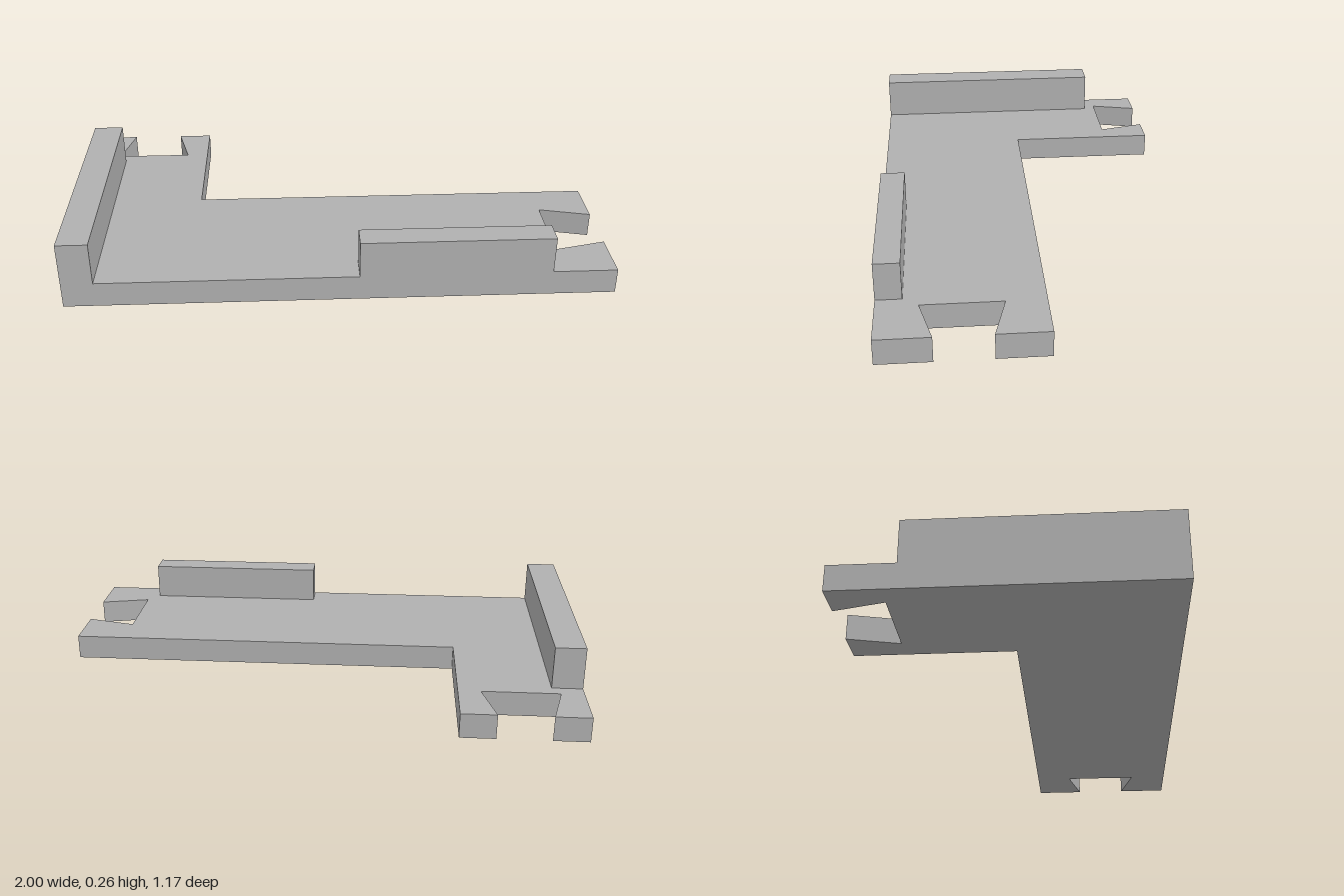
import * as THREE from 'three';

export function createModel() {
  const model = new THREE.Group();
  model.name = 'cornerTrack';
  const grey = new THREE.MeshStandardMaterial({ color: 0xb0b0b0 });
  grey.name = 'grey';

  // Extrudes an [x, z] outline upward from bottom to top
  const slab = (name, outline, bottom, top) => {
    const shape = new THREE.Shape(outline.map(([x, z]) => new THREE.Vector2(x, -z)));
    const geometry = new THREE.ExtrudeGeometry(shape, { depth: top - bottom, bevelEnabled: false });
    geometry.rotateX(-Math.PI / 2).translate(0, bottom, 0);
    const mesh = new THREE.Mesh(geometry, grey);
    mesh.name = name;
    model.add(mesh);
  };
  const rectangle = (x0, x1, z0, z1) => [[x0, z1], [x1, z1], [x1, z0], [x0, z0]];

  const END = 0.583, BASE = 0.095;

  // L-shaped base with a dovetail socket in each end
  slab('base', [
    [-1, END], [1, END],
    [1, 0.39], [0.807, 0.435], [0.807, 0.144], [1, 0.19],
    [1, 0], [-0.538, 0], [-0.538, -END],
    [-0.67, -END], [-0.623, -0.397], [-0.914, -0.397], [-0.868, -END],
    [-1, -END],
  ], 0, BASE);

  // Raised walls along the outer edges
  slab('sideWall', rectangle(-1, -0.885, -0.35, END), BASE, 0.257);
  slab('frontWall', rectangle(0.064, 0.765, 0.49, END), BASE, 0.235);

  return model;
}
